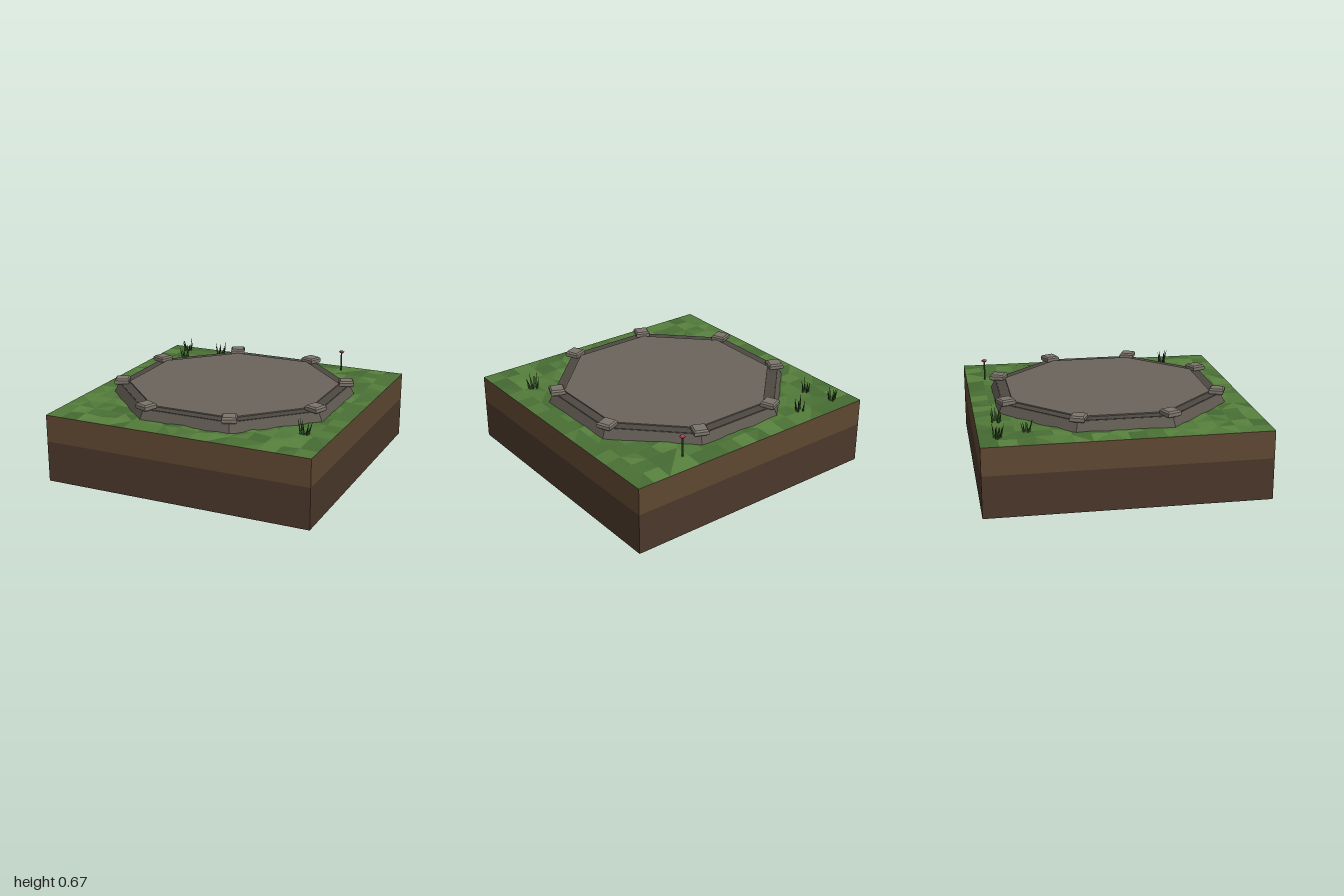
import * as THREE from 'three';

const material = (color, extra = {}) => new THREE.MeshStandardMaterial({ color, flatShading: true, roughness: 1, ...extra });

// Small seeded generator for repeatable variation
function seeded(seed) {
  return () => (seed = (seed * 16807) % 2147483647) / 2147483647;
}

function add(parent, name, geometry, mat, x = 0, y = 0, z = 0) {
  const mesh = new THREE.Mesh(geometry, mat);
  mesh.name = name;
  mesh.position.set(x, y, z);
  parent.add(mesh);
  return mesh;
}

// Octagonal slab with flat sides facing the axes
function octagon(topRadius, bottomRadius, height) {
  return new THREE.CylinderGeometry(topRadius, bottomRadius, height, 8).rotateY(Math.PI / 8);
}

// Gently uneven grass, split into a few shades of green
function createTurf() {
  const turf = new THREE.Group();
  turf.name = 'turf';
  const rand = seeded(4127);
  const n = 16;
  const heights = [];
  for (let j = 0; j <= n; j++) {
    for (let i = 0; i <= n; i++) {
      const edge = i === 0 || j === 0 || i === n || j === n;
      heights.push(edge ? 0.5 : 0.501 + rand() * 0.016);
    }
  }
  const corner = (i, j) => [-1 + (2 * i) / n, heights[j * (n + 1) + i], -1 + (2 * j) / n];
  const shades = [0x4a7035, 0x527a3a, 0x58823e, 0x456a32];
  const buckets = shades.map(() => []);
  for (let j = 0; j < n; j++) {
    for (let i = 0; i < n; i++) {
      const a = corner(i, j), b = corner(i + 1, j), c = corner(i + 1, j + 1), d = corner(i, j + 1);
      const tris = (i + j) % 2 ? [[a, d, b], [b, d, c]] : [[a, d, c], [a, c, b]];
      const shade = Math.floor(rand() * shades.length);
      tris.forEach((tri, k) => {
        const pick = k && rand() > 0.6 ? (shade + 1) % shades.length : shade;
        buckets[pick].push(...tri.flat());
      });
    }
  }
  buckets.forEach((positions, k) => {
    const geometry = new THREE.BufferGeometry();
    geometry.setAttribute('position', new THREE.Float32BufferAttribute(positions, 3));
    geometry.computeVertexNormals();
    add(turf, `grassPatch${k + 1}`, geometry, material(shades[k]));
  });
  return turf;
}

// Cluster of thin blades leaning outward
function createTuft(x, z, size, seed) {
  const tuft = new THREE.Group();
  tuft.name = 'grassTuft';
  const rand = seeded(seed);
  const green = material(0x2c4d22);
  for (let i = 0; i < 7; i++) {
    const height = size * (0.65 + rand() * 0.35);
    const blade = new THREE.ConeGeometry(0.009, height, 3).translate(0, height / 2, 0);
    const angle = i * 2.4 + rand();
    const spread = 0.012 + rand() * 0.018;
    const mesh = add(tuft, 'blade', blade, green, Math.cos(angle) * spread, 0, Math.sin(angle) * spread);
    const lean = 0.1 + rand() * 0.22;
    mesh.rotation.set(Math.sin(angle) * lean, 0, -Math.cos(angle) * lean);
  }
  tuft.position.set(x, 0.5, z);
  return tuft;
}

export function createModel() {
  const model = new THREE.Group();
  model.name = 'stonePlatformTile';

  // Two soil layers, with a dark underside
  const dark = material(0x261d17);
  const upper = material(0x5e4731);
  const lower = material(0x4a372a);
  add(model, 'lowerSoil', new THREE.BoxGeometry(2, 0.3, 2), [lower, lower, lower, dark, lower, lower], 0, 0.15, 0);
  add(model, 'upperSoil', new THREE.BoxGeometry(2, 0.2, 2), upper, 0, 0.399, 0);
  model.add(createTurf());

  // Sloped stone base, darker border and raised floor
  add(model, 'stoneBase', octagon(0.86, 0.905, 0.09), material(0x5e5850), 0, 0.53, 0);
  add(model, 'stoneBorder', octagon(0.855, 0.855, 0.004), material(0x4d4842), 0, 0.576, 0);
  add(model, 'stoneFloor', octagon(0.78, 0.78, 0.02), material(0x6b645b), 0, 0.576, 0);

  // Bevelled capstones at the eight corners
  const stone = material(0x7b746a);
  const profile = [[0, 0], [0.068, 0], [0.076, 0.01], [0.076, 0.03], [0.062, 0.042], [0, 0.042]];
  const cap = new THREE.LatheGeometry(profile.map(([r, y]) => new THREE.Vector2(r, y)), 4).rotateY(Math.PI / 4);
  for (let i = 0; i < 8; i++) {
    const angle = ((i + 0.5) * Math.PI) / 4;
    const mesh = add(model, 'capstone', cap, stone, Math.sin(angle) * 0.832, 0.574, Math.cos(angle) * 0.832);
    mesh.rotation.y = angle;
  }

  // Grass tufts
  [[-0.83, -0.88, 0.12], [-0.52, -0.86, 0.13], [-0.76, -0.67, 0.12], [0.8, 0.61, 0.13]]
    .forEach(([x, z, size], i) => model.add(createTuft(x, z, size, 911 + i * 377)));

  // Small flower
  const flower = new THREE.Group();
  flower.name = 'flower';
  add(flower, 'stem', new THREE.CylinderGeometry(0.006, 0.007, 0.16, 5), material(0x35592a), 0, 0.08, 0);
  const bloom = add(flower, 'bloom', new THREE.IcosahedronGeometry(0.022, 0), material(0xb8485a), 0, 0.161, 0);
  bloom.scale.y = 0.55;
  flower.position.set(0.54, 0.5, -0.86);
  model.add(flower);

  return model;
}
